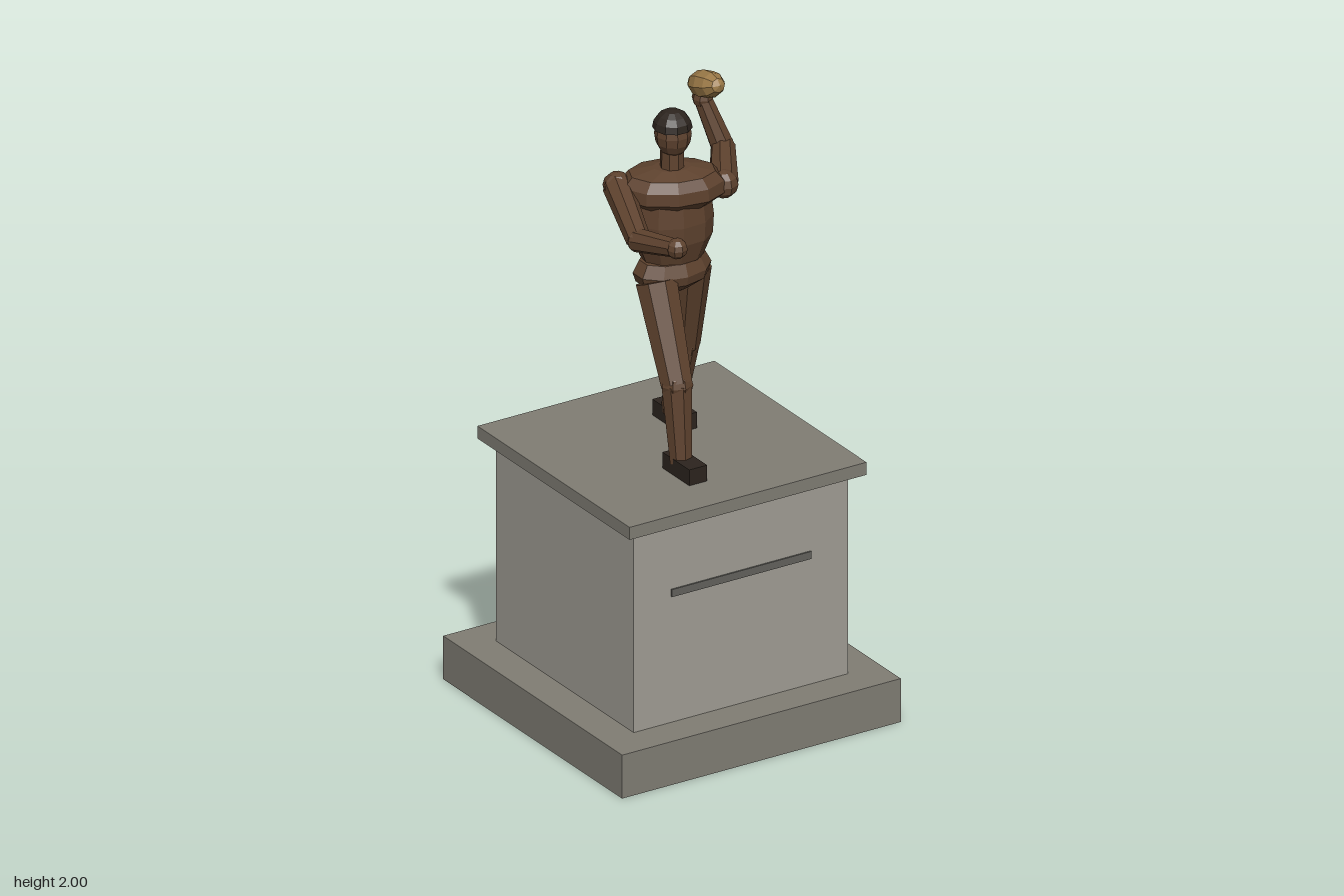
import * as THREE from 'three';

const mat = (color) => new THREE.MeshStandardMaterial({ color, flatShading: true });
const V = (a) => new THREE.Vector3(...a);

export function createModel() {
  const model = new THREE.Group();
  const bronze = mat(0x5e422e), dark = mat(0x2c241e), leather = mat(0x9c7a48);
  const stone = mat(0xa09d94), darkStone = mat(0x807d74), plaqueMat = mat(0x62615c);

  const add = (parent, name, geo, material, pos = [0, 0, 0], scale = [1, 1, 1]) => {
    const mesh = new THREE.Mesh(geo, material);
    mesh.name = name;
    mesh.position.set(...pos);
    mesh.scale.set(...scale);
    parent.add(mesh);
    return mesh;
  };
  const box = (parent, name, w, y0, y1, d, material, x = 0, z = 0) =>
    add(parent, name, new THREE.BoxGeometry(w, y1 - y0, d), material, [x, (y0 + y1) / 2, z]);
  const ball = (parent, name, pos, r, material = bronze) =>
    add(parent, name, new THREE.SphereGeometry(r, 8, 6), material, pos);
  // Closed lathe from [radius, height] pairs
  const lathe = (parent, name, profile, depth, turn) => {
    const points = profile.map((p) => new THREE.Vector2(...p));
    const mesh = add(parent, name, new THREE.LatheGeometry(points, 10), bronze, [0, 0, 0], [1, 1, depth]);
    mesh.rotation.y = turn;
    return mesh;
  };
  // Tapered eight-sided limb running from a to b
  const limb = (parent, name, a, b, ra, rb) => {
    const from = V(a), dir = V(b).sub(from);
    const geo = new THREE.CylinderGeometry(rb, ra, dir.length(), 8);
    const mesh = add(parent, name, geo, bronze);
    mesh.position.copy(from).addScaledVector(dir, 0.5);
    mesh.quaternion.setFromUnitVectors(new THREE.Vector3(0, 1, 0), dir.normalize());
  };

  // Stone pedestal
  const pedestal = new THREE.Group();
  pedestal.name = 'pedestal';
  box(pedestal, 'pedestalBase', 1, 0, 0.145, 1, darkStone);
  box(pedestal, 'pedestalBody', 0.77, 0.145, 0.815, 0.77, stone);
  box(pedestal, 'pedestalCap', 0.85, 0.815, 0.857, 0.85, darkStone);
  box(pedestal, 'plaque', 0.5, 0.565, 0.59, 0.01, plaqueMat, 0, 0.385);

  const figure = new THREE.Group();
  figure.name = 'figure';

  // Legs in a wide stride, right foot forward
  const legs = [
    { side: 'right', hip: [-0.072, 1.43, 0.025], knee: [-0.08, 1.14, 0.15], ankle: [-0.082, 0.89, 0.178], footX: -0.083, footZ: 0.201 },
    { side: 'left', hip: [0.075, 1.43, -0.02], knee: [0.095, 1.14, -0.085], ankle: [0.093, 0.89, -0.14], footX: 0.093, footZ: -0.13 },
  ];
  for (const { side, hip, knee, ankle, footX, footZ } of legs) {
    limb(figure, side + 'Thigh', hip, knee, 0.068, 0.052);
    ball(figure, side + 'Knee', knee, 0.052);
    limb(figure, side + 'Shin', knee, ankle, 0.05, 0.036);
    box(figure, side + 'Shoe', 0.064, 0.857, 0.91, 0.15, dark, footX, footZ);
  }

  // Pelvis, trunk and shoulders turn progressively
  lathe(figure, 'pelvis', [[0, 1.375], [0.06, 1.385], [0.12, 1.42], [0.13, 1.45], [0.108, 1.49], [0, 1.5]], 0.7, 0);
  lathe(figure, 'trunk', [[0, 1.48], [0.098, 1.49], [0.127, 1.56], [0.13, 1.62], [0.122, 1.69], [0, 1.7]], 0.78, -0.2);
  lathe(figure, 'shoulders', [[0, 1.665], [0.125, 1.67], [0.164, 1.7], [0.162, 1.74], [0.135, 1.772], [0.06, 1.787], [0, 1.787]], 0.68, -0.38);

  // Neck, head and cap
  add(figure, 'neck', new THREE.CylinderGeometry(0.036, 0.038, 0.09, 8), bronze, [0, 1.805, 0]);
  add(figure, 'head', new THREE.SphereGeometry(0.058, 10, 8), bronze, [0, 1.898, 0.005], [0.98, 1.26, 1]);
  add(figure, 'cap', new THREE.SphereGeometry(0.061, 10, 4, 0, Math.PI * 2, 0, Math.PI / 2), dark, [0, 1.918, 0.002], [1, 0.96, 1.02]);
  const capUnderside = add(figure, 'capUnderside', new THREE.CircleGeometry(0.061, 10), dark, [0, 1.918, 0.002]);
  capUnderside.rotation.x = Math.PI / 2;

  // Right arm points ahead, left arm is cocked to throw
  const arms = [
    { side: 'right', shoulder: [-0.148, 1.728, -0.075], elbow: [-0.21, 1.648, 0.14], wrist: [-0.178, 1.678, 0.305] },
    { side: 'left', shoulder: [0.15, 1.712, 0.055], elbow: [0.26, 1.737, -0.12], wrist: [0.215, 1.895, -0.165] },
  ];
  for (const { side, shoulder, elbow, wrist } of arms) {
    ball(figure, side + 'Shoulder', shoulder, 0.046);
    limb(figure, side + 'UpperArm', shoulder, elbow, 0.046, 0.038);
    ball(figure, side + 'Elbow', elbow, 0.038);
    limb(figure, side + 'Forearm', elbow, wrist, 0.038, 0.029);
    ball(figure, side + 'Hand', wrist, 0.033);
  }

  // Pointed oval ball with its nose raised
  const throwBall = add(figure, 'throwingBall', new THREE.SphereGeometry(0.047, 8, 6), leather, [0.21, 1.953, -0.136], [1, 1.75, 0.95]);
  throwBall.rotation.x = Math.PI / 2 - 0.3;

  model.add(pedestal, figure);
  return model;
}
